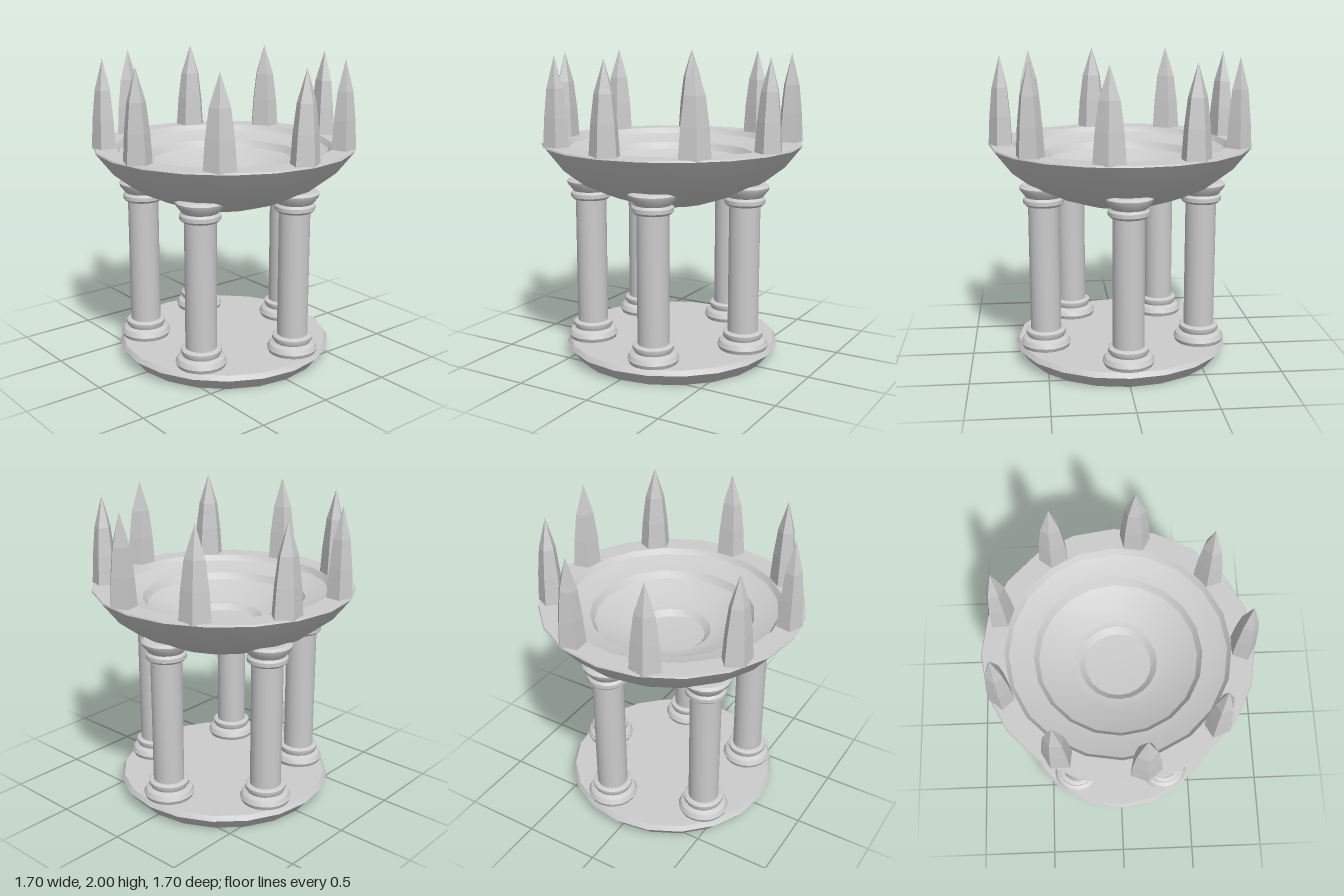
import * as THREE from 'three';
import { toCreasedNormals } from 'three/addons/utils/BufferGeometryUtils.js';

const stone = new THREE.MeshStandardMaterial({ color: 0xcccccc });
const facetedStone = new THREE.MeshStandardMaterial({ color: 0xcccccc, flatShading: true });

// Turned solid from [radius, height] pairs, bottom to top
function turned(profile, sides, start = 0) {
  return new THREE.LatheGeometry(profile.map(([r, y]) => new THREE.Vector2(r, y)), sides, start);
}

function addPart(parent, name, geometry, material = stone) {
  const mesh = new THREE.Mesh(geometry, material);
  mesh.name = name;
  parent.add(mesh);
  return mesh;
}

export function createModel() {
  const model = new THREE.Group();
  model.name = 'columnedBrazier';

  // Round plinth with an undercut edge
  addPart(model, 'plinth', toCreasedNormals(turned([
    [0, 0], [0.64, 0], [0.71, 0.085], [0.69, 0.115], [0, 0.115],
  ], 20), 0.4));

  // Bowl: rounded underside, flat rim, stepped interior
  addPart(model, 'bowl', toCreasedNormals(turned([
    [0, 1.015], [0.26, 1.045], [0.45, 1.11], [0.61, 1.185], [0.74, 1.285], [0.85, 1.425],
    [0.845, 1.435], [0.705, 1.435], [0.68, 1.4], [0.58, 1.365], [0.53, 1.355],
    [0.5, 1.31], [0.3, 1.22], [0.25, 1.215], [0.21, 1.18], [0, 1.165],
  ], 20), 0.4));

  // Five columns with moulded feet and capitals, one straight at the back
  const columnGeometry = toCreasedNormals(turned([
    [0, 0.11], [0.155, 0.115], [0.165, 0.14], [0.15, 0.17], [0.12, 0.185],
    [0.13, 0.205], [0.13, 0.225], [0.115, 0.235], [0.1, 0.235],
    [0.1, 1.065], [0.115, 1.065], [0.13, 1.08], [0.13, 1.105], [0.115, 1.12],
    [0.15, 1.165], [0.155, 1.185], [0.135, 1.2], [0, 1.2],
  ], 20), 0.6);
  for (let i = 0; i < 5; i++) {
    const a = (i / 5) * Math.PI * 2;
    const column = addPart(model, 'column', columnGeometry);
    column.position.set(0.535 * Math.sin(a), 0, -0.535 * Math.cos(a));
    column.rotation.y = -a;
  }

  // Nine five-sided spikes standing on the rim, each with a ridge facing outward
  const spikeGeometry = turned([
    [0, 1.43], [0.104, 1.43], [0.09, 1.62], [0.066, 1.8], [0, 2],
  ], 5, Math.PI / 2).scale(0.8, 1, 1).translate(0.77, 0, 0);
  for (let i = 0; i < 9; i++) {
    addPart(model, 'spike', spikeGeometry, facetedStone).rotation.y = (i / 9) * Math.PI * 2;
  }

  return model;
}
